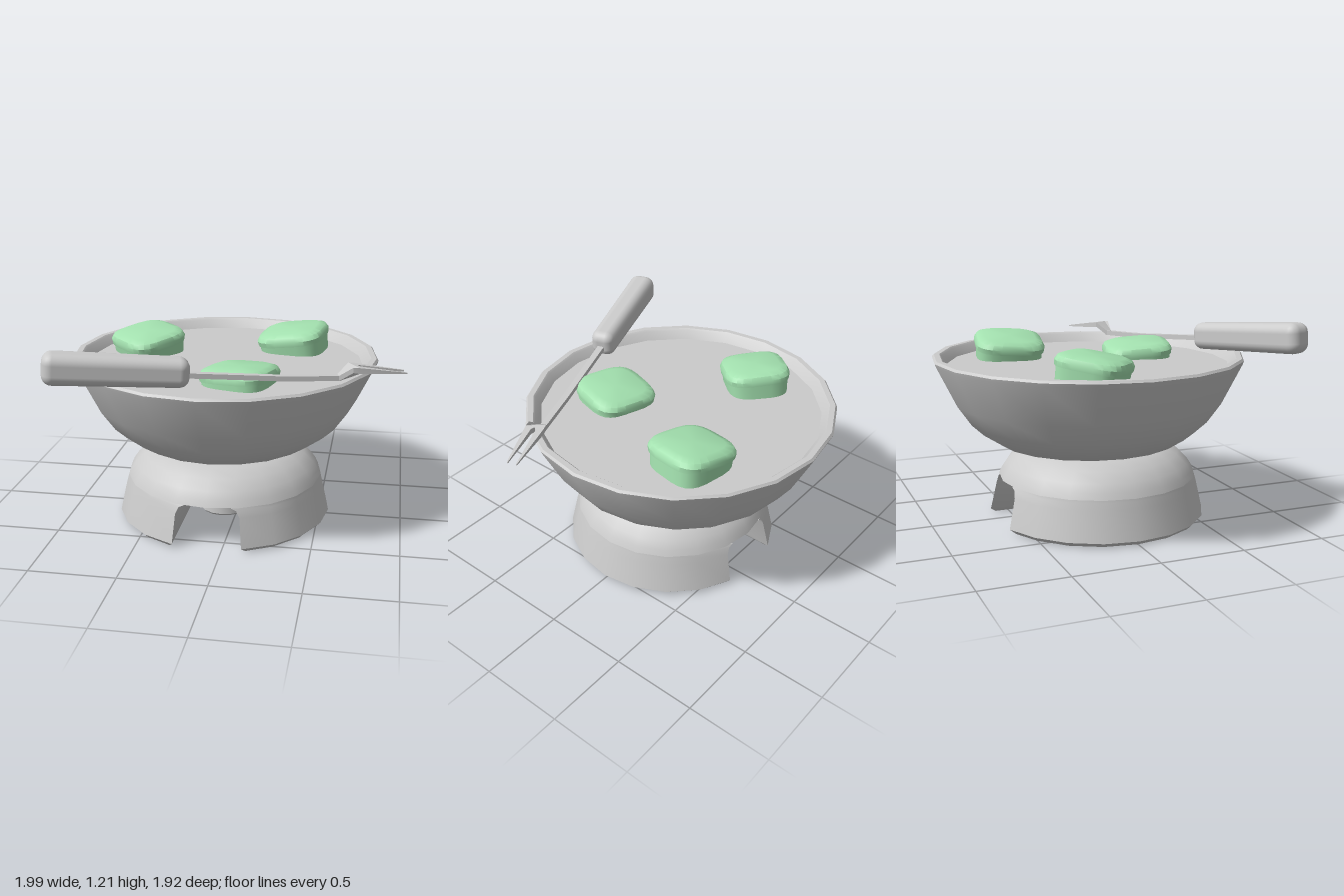
import * as THREE from 'three';
import { toCreasedNormals } from 'three/addons/utils/BufferGeometryUtils.js';
import { RoundedBoxGeometry } from 'three/addons/geometries/RoundedBoxGeometry.js';

const grey = new THREE.MeshStandardMaterial({ color: 0xcccccc });
const green = new THREE.MeshStandardMaterial({ color: 0xa4e2b0 });

function add(parent, name, geometry, material = grey) {
  const mesh = new THREE.Mesh(geometry, material);
  mesh.name = name;
  parent.add(mesh);
  return mesh;
}

// Skin closed rings of [x, y, z] points and cap both ends
function loft(rings, crease = 0.6) {
  const n = rings[0].length, pos = rings.flat(2), index = [];
  for (let i = 0; i < rings.length - 1; i++) {
    for (let j = 0; j < n; j++) {
      const a = i * n + j, b = i * n + (j + 1) % n;
      index.push(a, b, a + n, b, b + n, a + n);
    }
  }
  [0, rings.length - 1].forEach((r, end) => {
    const c = pos.length / 3;
    for (let k = 0; k < 3; k++) pos.push(rings[r].reduce((s, p) => s + p[k], 0) / n);
    for (let j = 0; j < n; j++) {
      const a = r * n + j, b = r * n + (j + 1) % n;
      index.push(c, end ? a : b, end ? b : a);
    }
  });
  const g = new THREE.BufferGeometry();
  g.setAttribute('position', new THREE.Float32BufferAttribute(pos, 3));
  g.setIndex(index);
  return toCreasedNormals(g, crease);
}

function lathe(profile, sides, crease = 0.6) {
  const points = profile.map(([r, y]) => new THREE.Vector2(r, y));
  return toCreasedNormals(new THREE.LatheGeometry(points, sides), crease);
}

// Domed stand with an arched tunnel running front to back
function makeStand() {
  const stand = new THREE.Group();
  stand.name = 'stand';
  // [height, outer radius, half width of tunnel]
  const levels = [[0, 0.62, 0.22], [0.025, 0.645, 0.2], [0.2, 0.605, 0.185],
    [0.24, 0.594, 0.165], [0.255, 0.59, 0.135]];
  const rings = levels.map(([y, r, w]) => {
    const start = Math.asin(w / r), angles = [start];
    for (let k = 2; k <= 8; k++) angles.push(k * Math.PI / 10);
    angles.push(Math.PI - start);
    return angles.map(a => [r * Math.sin(a), y, r * Math.cos(a)]);
  });
  const foot = loft(rings);
  add(stand, 'leftFoot', foot);
  add(stand, 'rightFoot', foot).rotation.y = Math.PI;
  add(stand, 'standDome', lathe([[0, 0.255], [0.59, 0.255], [0.575, 0.29], [0.545, 0.335],
    [0.49, 0.39], [0.42, 0.425], [0.33, 0.447], [0, 0.455]], 20));
  return stand;
}

// Rounded square lump with an overhanging domed top
function makeChunk(half, yaw) {
  const levels = [[-0.17, 0.92], [-0.02, 0.96], [-0.02, 1], [0.01, 1.02], [0.035, 0.95], [0.05, 0.75]];
  const soft = v => Math.sign(v) * Math.abs(v) ** 0.58;
  const rings = levels.map(([y, s]) => Array.from({ length: 24 }, (_, i) => {
    const a = (i + 0.5) / 24 * Math.PI * 2;
    return [half * s * soft(Math.sin(a)), y, half * s * soft(Math.cos(a))];
  }));
  return loft(rings, 0.7).rotateY(yaw);
}

function makeFork() {
  const fork = new THREE.Group();
  fork.name = 'fork';

  // Handle, slightly thinner towards the shaft
  const handle = new RoundedBoxGeometry(0.77, 0.165, 0.155, 3, 0.055);
  const p = handle.attributes.position;
  for (let i = 0; i < p.count; i++) {
    const k = 1 - 0.13 * p.getX(i);
    p.setY(i, p.getY(i) * k);
    p.setZ(i, p.getZ(i) * k);
  }
  const grip = add(fork, 'handle', handle);
  grip.position.set(0.385, 1.093, 0);
  grip.rotation.z = -0.085;

  // Shaft
  const shaft = [[0.72, 1.05, 0.02], [1.3, 1.0, 0.018], [1.6, 0.988, 0.018]].map(([x, y, h]) =>
    [[x, y + 0.014, -h], [x, y + 0.014, h], [x, y - 0.014, h], [x, y - 0.014, -h]]);
  add(fork, 'shaft', loft(shaft, 0.3));

  // Two-pronged head, bent up at the neck and sloping down to the tips
  const outline = [[1.585, -0.018], [1.655, -0.052], [1.69, -0.054], [1.97, -0.03], [1.97, -0.024],
    [1.71, -0.014], [1.69, 0], [1.71, 0.014], [1.97, 0.024], [1.97, 0.03],
    [1.69, 0.054], [1.655, 0.052], [1.585, 0.018]];
  const shape = new THREE.Shape(outline.map(([x, z]) => new THREE.Vector2(x, -z)));
  const head = new THREE.ExtrudeGeometry(shape, { depth: 1, bevelEnabled: false }).rotateX(-Math.PI / 2);
  const q = head.attributes.position;
  for (let i = 0; i < q.count; i++) {
    const x = q.getX(i), t = (x - 1.655) / 0.315;
    const mid = x < 1.655 ? 0.988 + (x - 1.585) * 0.75 : 1.04 - 0.04 * t;
    q.setY(i, mid + (q.getY(i) - 0.5) * (x < 1.655 ? 0.03 : 0.036 - 0.028 * t));
  }
  add(fork, 'prongs', toCreasedNormals(head, 0.3));

  fork.position.set(-0.885, 0, 0.89);
  fork.rotation.y = 0.337;
  return fork;
}

export function createModel() {
  const model = new THREE.Group();
  model.name = 'fonduePot';

  const stand = makeStand();
  stand.position.x = -0.085;
  model.add(stand);

  // Tea light inside the tunnel
  const candle = new THREE.Group();
  candle.name = 'teaLight';
  candle.position.x = -0.085;
  add(candle, 'candleCup', lathe([[0, 0], [0.14, 0], [0.15, 0.012], [0.15, 0.11],
    [0.14, 0.122], [0, 0.122]], 16));
  add(candle, 'flame', lathe([[0, 0.115], [0.022, 0.125], [0.04, 0.155], [0.032, 0.178],
    [0.014, 0.205], [0, 0.222]], 10));
  model.add(candle);

  // Bowl and its filling
  const bowl = new THREE.Group();
  bowl.name = 'bowl';
  bowl.position.set(-0.09, 0, -0.058);
  add(bowl, 'bowlShell', lathe([[0, 0.45], [0.3, 0.45], [0.54, 0.475], [0.64, 0.54], [0.71, 0.605],
    [0.79, 0.72], [0.905, 0.955], [0.911, 0.972], [0.9, 0.985], [0.868, 0.985],
    [0.857, 0.975], [0.815, 0.91]], 20));
  const filling = add(bowl, 'filling', new THREE.CircleGeometry(0.828, 20));
  filling.rotation.x = -Math.PI / 2;
  filling.position.y = 0.927;
  model.add(bowl);

  // Floating chunks: position, half size, yaw, tilt about x and z
  [[-0.605, 1.01, -0.22, 0.195, -0.72, 0.13, 0.05],
    [0.28, 1.01, -0.43, 0.205, -0.17, 0.03, 0.15],
    [0.06, 0.965, 0.32, 0.203, -0.26, -0.08, 0.03]].forEach(([x, y, z, half, yaw, rx, rz]) => {
    const chunk = add(model, 'chunk', makeChunk(half, yaw), green);
    chunk.position.set(x, y, z);
    chunk.rotation.set(rx, 0, rz);
  });

  model.add(makeFork());
  return model;
}
